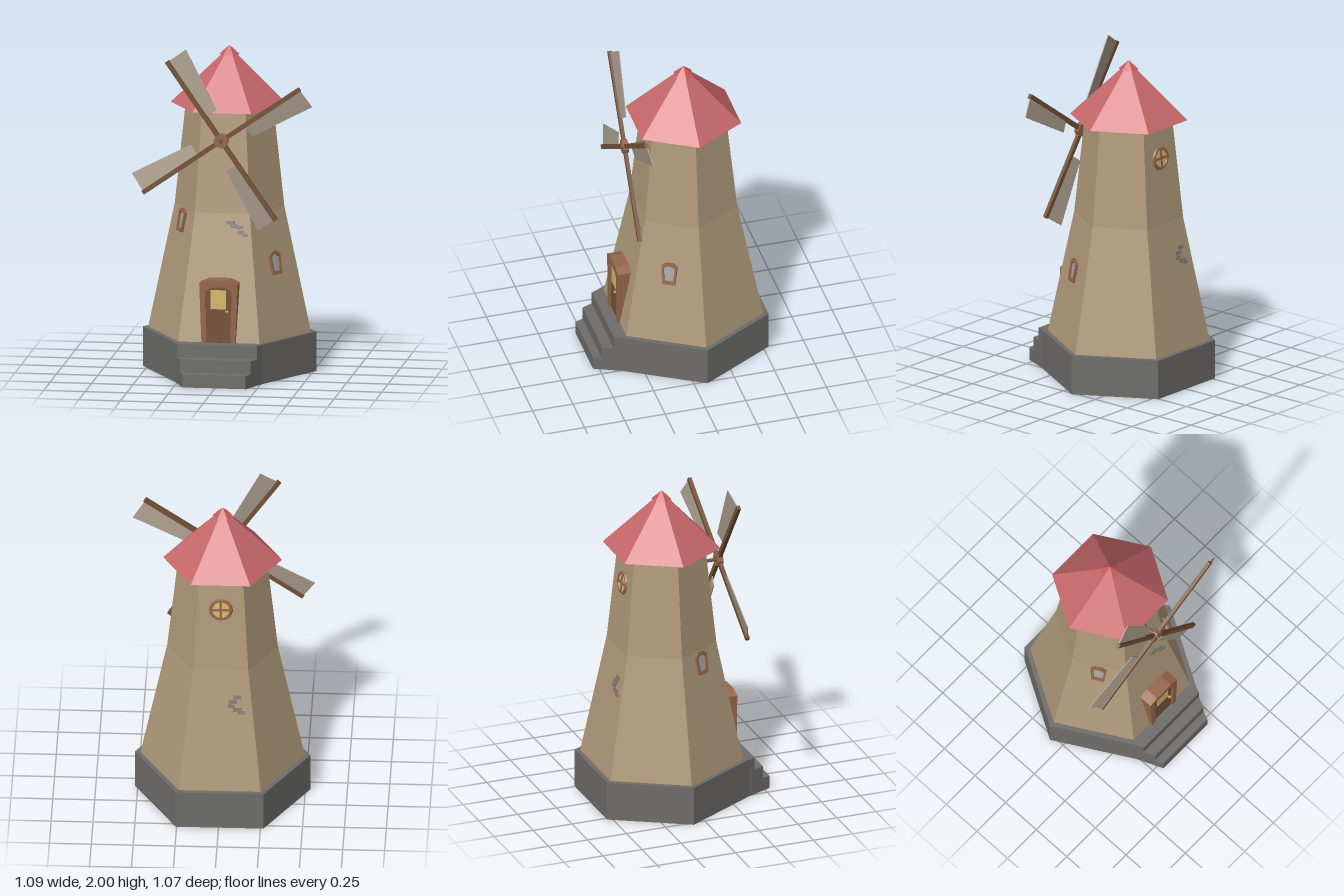
import * as THREE from 'three';

const CX = -0.006, CZ = -0.08; // axis of the tower
const mat = (color, double) => new THREE.MeshStandardMaterial({
  color, flatShading: true, side: double ? THREE.DoubleSide : THREE.FrontSide });
const M = {
  stone: mat(0x6e6d6a, true), wall: mat(0xb09a7a, true), roof: mat(0xc8686a), cap: mat(0xc85c5c),
  wood: mat(0x96664a), darkWood: mat(0x755238), sail: mat(0xa99c8b, true), brick: mat(0x827a72),
  glass: mat(0xa3a5a8), lamp: mat(0xd6ba6c), brass: mat(0xc09840),
};

function add(parent, name, geo, material, x = 0, y = 0, z = 0) {
  const m = new THREE.Mesh(geo, material);
  m.name = name;
  m.position.set(x, y, z);
  parent.add(m);
  return m;
}
const shape = pts => new THREE.Shape(pts.map(p => new THREE.Vector2(...p)));
const extrude = (s, depth) => new THREE.ExtrudeGeometry(s, { depth, bevelEnabled: false });
const hexLathe = pts => new THREE.LatheGeometry(pts.map(p => new THREE.Vector2(...p)), 6, Math.PI / 2);

// Tower radius and lean at a height
const radius = y => y < 1 ? 0.49 - 0.16 * (y - 0.24) / 0.76 : 0.33 - 0.066 * (y - 1) / 0.61;
const lean = y => Math.atan(0.866 * (y < 1 ? 0.16 / 0.76 : 0.066 / 0.61));

// Group lying on a tower face: local z points out of the wall
function onWall(root, name, angle, y) {
  const g = new THREE.Group(), a = radius(y) * Math.cos(Math.PI / 6);
  g.name = name;
  g.position.set(CX + a * Math.sin(angle), y, CZ + a * Math.cos(angle));
  g.rotation.set(-lean(y), angle, 0, 'YXZ');
  root.add(g);
  return g;
}

// Gabled outline, wider at the top
const gable = (wb, wt, h, rise, k = 1) => [
  [-wb * k, -h * k], [wb * k, -h * k], [wt * k, (h - rise) * k],
  [wt * 0.45 * k, h * k], [-wt * 0.45 * k, h * k], [-wt * k, (h - rise) * k]];

function smallWindow(root, name, angle, y) {
  const g = onWall(root, name, angle, y);
  const s = shape(gable(0.039, 0.049, 0.07, 0.022));
  s.holes.push(shape(gable(0.039, 0.049, 0.07, 0.022, 0.7)));
  add(g, 'windowFrame', extrude(s, 0.03), M.wood, 0, 0, -0.015);
  add(g, 'windowPane', extrude(shape(gable(0.039, 0.049, 0.07, 0.022, 0.75)), 0.014), M.glass, 0, 0, -0.01);
}

function roundWindow(root) {
  const g = onWall(root, 'roundWindow', Math.PI, 1.405);
  add(g, 'roundFrame', new THREE.TorusGeometry(0.06, 0.012, 6, 16), M.wood);
  add(g, 'roundPane', new THREE.CylinderGeometry(0.058, 0.058, 0.012, 16), M.lamp).rotation.x = Math.PI / 2;
  add(g, 'windowBar', new THREE.BoxGeometry(0.115, 0.014, 0.022), M.wood);
  add(g, 'windowBar', new THREE.BoxGeometry(0.014, 0.115, 0.022), M.wood);
}

// Exposed bricks: [x, y, width, height]
function bricks(root, angle, y, list) {
  const g = onWall(root, 'exposedBricks', angle, y);
  for (const [bx, by, w, h] of list) add(g, 'brick', new THREE.BoxGeometry(w, h, 0.014), M.brick, bx, by, 0);
}

function door(root) {
  const g = new THREE.Group();
  g.name = 'door';
  g.position.x = CX;
  root.add(g);
  // Frame is open at the foot and its legs run down into the base
  const frame = shape([[-0.099, 0.14], [-0.069, 0.14], [-0.079, 0.555], [-0.04, 0.578], [0.04, 0.578],
    [0.079, 0.555], [0.069, 0.14], [0.099, 0.14], [0.116, 0.6], [0.06, 0.622], [-0.06, 0.622], [-0.116, 0.6]]);
  add(g, 'doorFrame', extrude(frame, 0.085), M.wood, 0, 0, 0.275);
  const panel = shape([[-0.074, 0.22], [0.074, 0.22], [0.081, 0.556], [0.04, 0.58], [-0.04, 0.58], [-0.081, 0.556]]);
  add(g, 'doorPanel', extrude(panel, 0.065), M.darkWood, 0, 0, 0.283);
  add(g, 'doorWindow', new THREE.BoxGeometry(0.094, 0.115, 0.008), M.lamp, -0.002, 0.502, 0.349);
  add(g, 'doorKnob', new THREE.SphereGeometry(0.011, 8, 6), M.brass, 0.051, 0.43, 0.358);
}

function steps(root) {
  const half = z => 0.262 - (z - 0.37) * 0.43;
  [0.535, 0.485, 0.42].forEach((z, i) => {
    const s = shape([[-half(z), -z], [half(z), -z], [0.262, -0.37], [-0.262, -0.37]]);
    add(root, 'step', extrude(s, 0.08), M.stone, CX, i * 0.08, 0).rotation.x = -Math.PI / 2;
  });
}

function sails(root) {
  const g = new THREE.Group();
  g.name = 'sails';
  g.position.set(0, 1.455, 0.287);
  root.add(g);
  const disc = (name, r, len, z, material) =>
    add(g, name, new THREE.CylinderGeometry(r, r, len, 8), material, 0, 0, z).rotation.x = Math.PI / 2;
  disc('shaft', 0.011, 0.2, -0.08, M.darkWood);
  disc('hub', 0.044, 0.034, 0, M.wood);
  disc('hubPin', 0.012, 0.012, 0.019, M.darkWood);
  const cloth = shape([[0.17, 0], [0.17, -0.081], [0.57, -0.133], [0.57, 0]]);
  for (let i = 0; i < 4; i++) {
    const arm = new THREE.Group();
    arm.name = 'sailArm';
    arm.rotation.z = THREE.MathUtils.degToRad(34.7 + i * 90);
    g.add(arm);
    add(arm, 'spar', new THREE.BoxGeometry(0.56, 0.027, 0.022), M.darkWood, 0.295, 0, 0);
    add(arm, 'sailCloth', extrude(cloth, 0.006), M.sail, 0, 0, -0.006).rotation.x = 0.18;
  }
}

export function createModel() {
  const root = new THREE.Group();
  root.name = 'windmill';

  // Hollow stone base with a top slab
  add(root, 'base', hexLathe([[0.523, 0], [0.523, 0.24], [0, 0.24]]), M.stone, CX, 0, CZ);
  steps(root);

  // Tower walls, running a little below the slab
  add(root, 'tower', hexLathe([[0.508, 0.14], [0.49, 0.24], [0.33, 1], [0.26, 1.65]]), M.wall, CX, 0, CZ);

  // Roof and its small cap
  add(root, 'roof', hexLathe([[0, 1.61], [0.355, 1.61], [0, 1.957]]), M.roof, CX, 0, CZ);
  add(root, 'roofCap', hexLathe([[0, 1.912], [0.061, 1.912], [0, 1.967]]), M.cap, CX, 0, CZ);

  door(root);
  smallWindow(root, 'leftWindow', Math.PI / 3, 0.685);
  smallWindow(root, 'rightWindow', -Math.PI / 3, 0.925);
  roundWindow(root);

  bricks(root, 0, 0.91, [[0.052, 0.035, 0.05, 0.022], [0.075, 0.016, 0.05, 0.02],
    [0.11, 0.008, 0.036, 0.022], [0.115, -0.022, 0.04, 0.02], [0.14, -0.038, 0.03, 0.018]]);
  bricks(root, Math.PI, 0.79, [[0.1, 0.045, 0.045, 0.024], [0.075, 0.015, 0.05, 0.024],
    [0.065, -0.012, 0.04, 0.022], [0.1, -0.035, 0.05, 0.024], [0.125, -0.052, 0.036, 0.02]]);

  sails(root);
  return root;
}
